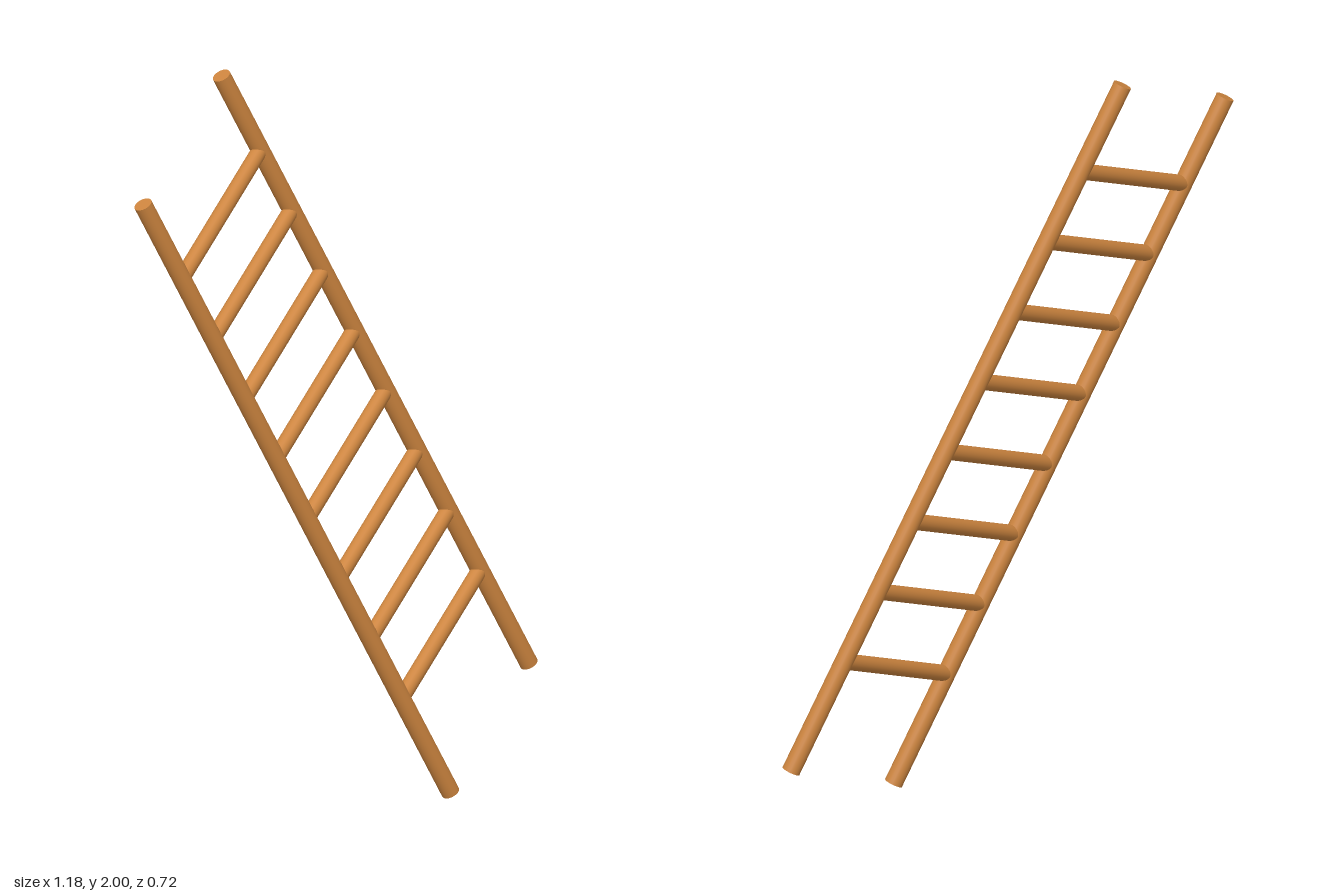
import * as THREE from 'three';

const wood = new THREE.MeshStandardMaterial({ color: 0xcd853f });

// Round pole between two points
function pole(name, from, to, radius) {
  const dir = to.clone().sub(from);
  const mesh = new THREE.Mesh(new THREE.CylinderGeometry(radius, radius, dir.length(), 24), wood);
  mesh.name = name;
  mesh.position.copy(from).lerp(to, 0.5);
  mesh.quaternion.setFromUnitVectors(new THREE.Vector3(0, 1, 0), dir.normalize());
  return mesh;
}

export function createModel() {
  const ladder = new THREE.Group();
  ladder.name = 'ladder';

  // Rail ends; the two rails are point-mirrored about the middle of the ladder
  const rightBottom = new THREE.Vector3(0.293, 0.011, 0.034);
  const rightTop = new THREE.Vector3(-0.568, 1.79, 0.336);
  const centre = new THREE.Vector3(0, 1, 0);
  const mirror = (p) => centre.clone().multiplyScalar(2).sub(p);
  const leftBottom = mirror(rightTop);
  const leftTop = mirror(rightBottom);

  ladder.add(pole('rightRail', rightBottom, rightTop, 0.024));
  ladder.add(pole('leftRail', leftBottom, leftTop, 0.024));

  // Evenly spaced rungs running from rail axis to rail axis
  const rungCount = 8;
  for (let i = 0; i < rungCount; i++) {
    const t = 0.16 + 0.102 * i;
    const a = rightBottom.clone().lerp(rightTop, t);
    const b = leftBottom.clone().lerp(leftTop, t);
    ladder.add(pole(`rung${i + 1}`, a, b, 0.021));
  }
  return ladder;
}
